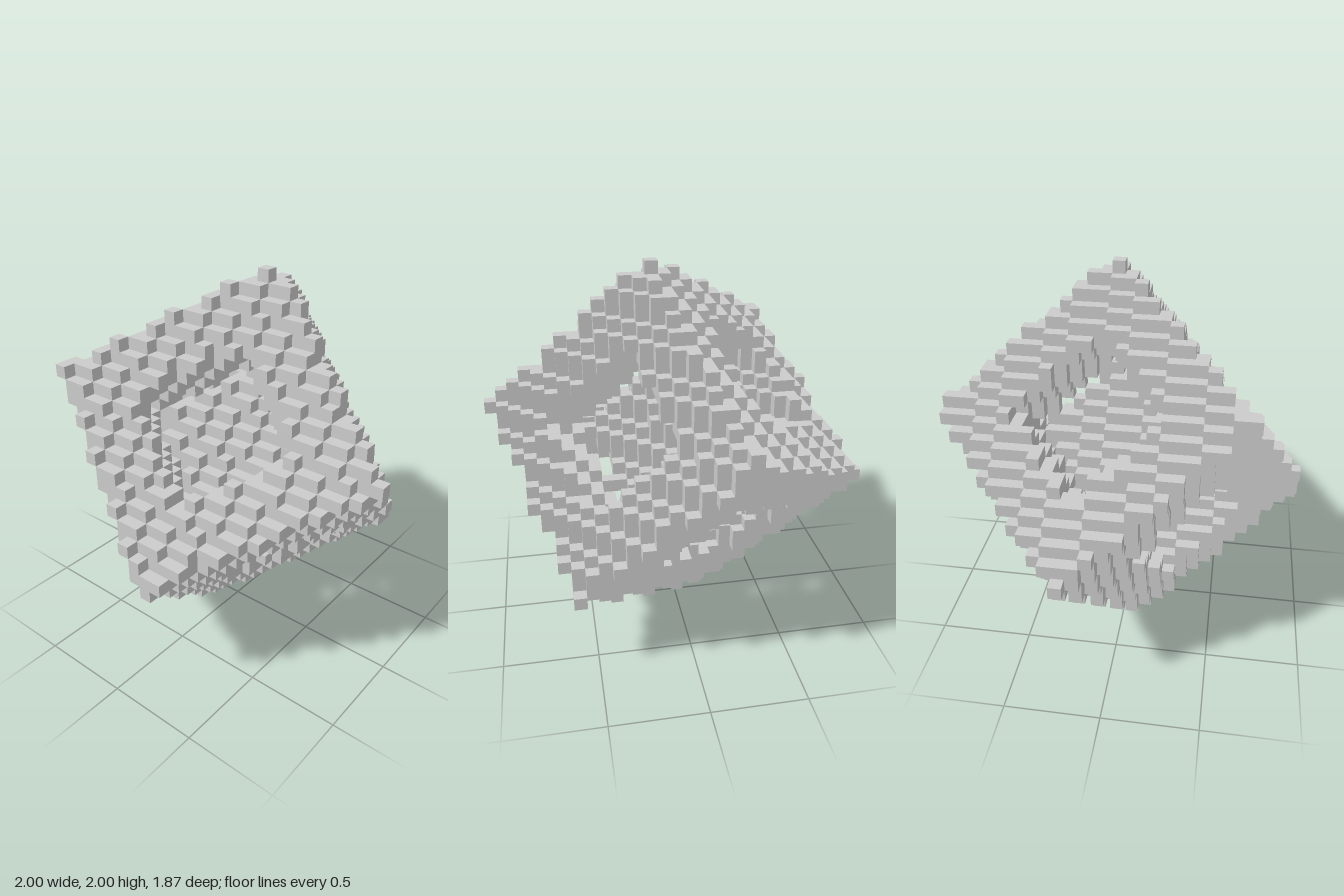
import * as THREE from 'three';

// All lengths below are in blocks; one block is 2/31 units wide.
const BLOCK = 2 / 31;
const REACH = 16;         // grid runs from -REACH to +REACH on each axis
const CUBE_HALF = 9.29;   // half edge of the tilted cube frame
const WINDOW_HALF = 4.59; // half width of the square opening in each face
const CORE_HALF = 4.45;   // half edge of the smaller cube inside

// Tilt of the cubes, standing on one corner
const untilt = new THREE.Quaternion()
  .setFromAxisAngle(new THREE.Vector3(-1.251, 0.063, -1.341).normalize(), 1.1511)
  .invert();

// A block is filled where its centre is in the frame of twelve square bars, or in the core
const point = new THREE.Vector3();
function blockFilled(i, j, k) {
  point.set(i, j, k).applyQuaternion(untilt);
  const [, middle, large] = point.toArray().map(Math.abs).sort((a, b) => a - b);
  return large <= CORE_HALF || (large <= CUBE_HALF && middle >= WINDOW_HALF);
}

function buildBlocks() {
  const size = 2 * REACH + 1;
  const index = (c) => ((c[0] + REACH) * size + c[1] + REACH) * size + c[2] + REACH;
  const filled = new Uint8Array(size ** 3);
  const cells = [];
  for (let i = 1 - REACH; i < REACH; i++)
    for (let j = 1 - REACH; j < REACH; j++)
      for (let k = 1 - REACH; k < REACH; k++)
        if (blockFilled(i, j, k)) {
          const cell = [i, j, k];
          filled[index(cell)] = 1;
          cells.push(cell);
        }

  // Only the faces between a filled and an empty block are drawn
  const positions = [], normals = [], indices = [];
  const corners = [[-0.5, -0.5], [0.5, -0.5], [0.5, 0.5], [-0.5, 0.5]];
  for (const cell of cells) {
    for (let axis = 0; axis < 3; axis++) {
      for (const sign of [-1, 1]) {
        const next = [...cell];
        next[axis] += sign;
        if (filled[index(next)]) continue;
        const start = positions.length / 3;
        const normal = [0, 0, 0];
        normal[axis] = sign;
        for (const [u, v] of corners) {
          const p = [...cell];
          p[axis] += sign * 0.5;
          p[(axis + 1) % 3] += u;
          p[(axis + 2) % 3] += v;
          positions.push(p[0] * BLOCK, p[1] * BLOCK, p[2] * BLOCK);
          normals.push(...normal);
        }
        const order = sign > 0 ? [0, 1, 2, 0, 2, 3] : [0, 2, 1, 0, 3, 2];
        indices.push(...order.map((n) => start + n));
      }
    }
  }
  const geometry = new THREE.BufferGeometry();
  geometry.setAttribute('position', new THREE.Float32BufferAttribute(positions, 3));
  geometry.setAttribute('normal', new THREE.Float32BufferAttribute(normals, 3));
  geometry.setIndex(indices);
  return geometry;
}

export function createModel() {
  const group = new THREE.Group();
  group.name = 'blockCubeFrame';
  const material = new THREE.MeshStandardMaterial({ color: 0xcccccc, flatShading: true });
  const blocks = new THREE.Mesh(buildBlocks(), material);
  blocks.name = 'frameAndCoreBlocks';
  blocks.position.y = 1;
  group.add(blocks);
  return group;
}
